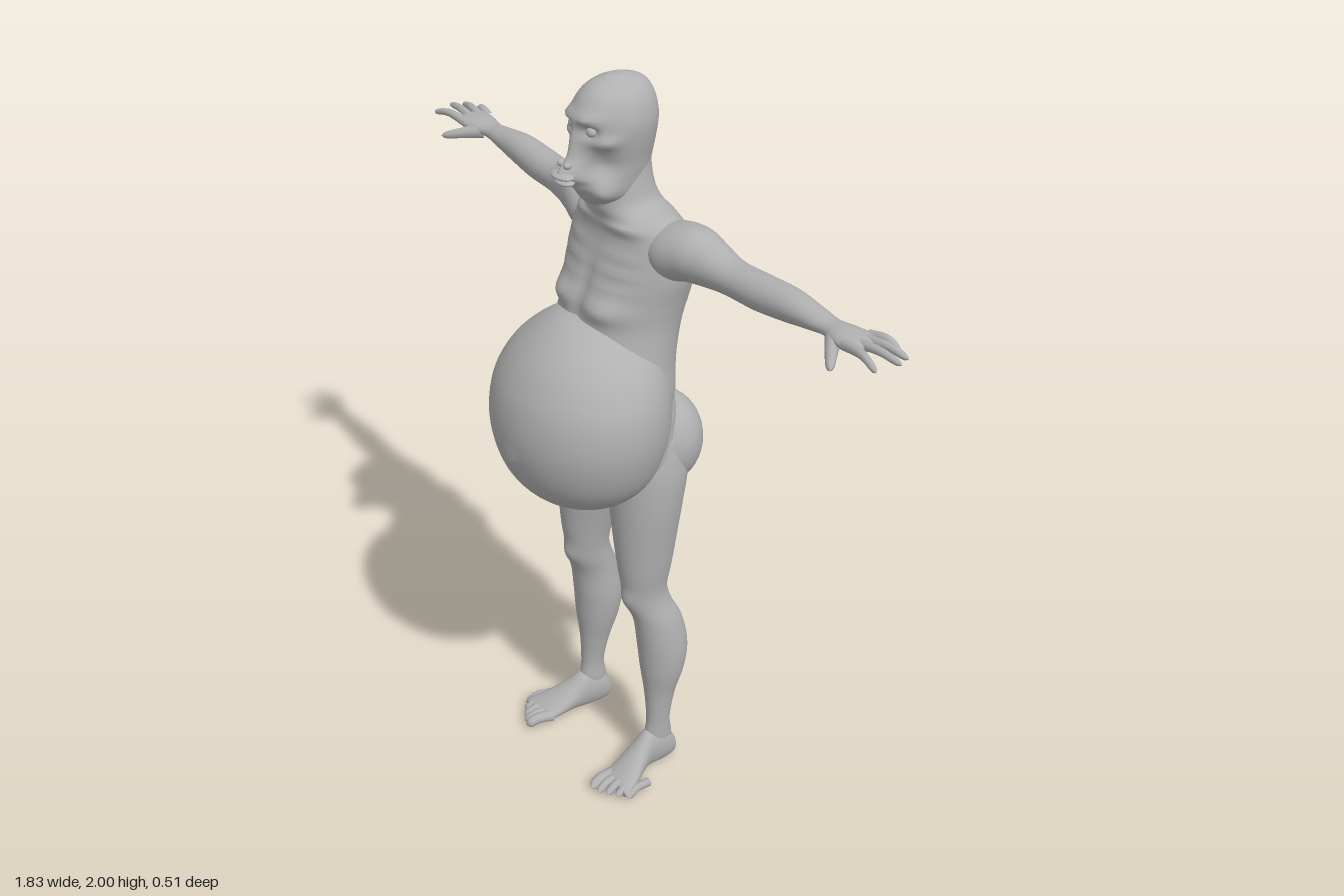
import * as THREE from 'three';

const skin = new THREE.MeshStandardMaterial({ color: 0xb0b0b0 });
skin.name = 'grey skin';

const cubic = (a, b, c, d, t) =>
  b + 0.5 * t * (c - a + t * (2 * a - 5 * b + 4 * c - d + t * (3 * (b - c) + d - a)));

// Smooth skin over elliptical sections: [along, uMin, uMax, vMin, vMax].
// (u, v) is (x, z) for axis y, (z, y) for axis x and (y, x) for axis z.
function loft(axis, rows, sides = 48, steps = 6) {
  const pos = [], index = [];
  const put = (s, u, v) =>
    pos.push(...(axis === 'y' ? [u, s, v] : axis === 'x' ? [s, v, u] : [v, u, s]));
  const row = (i) => rows[Math.min(Math.max(i, 0), rows.length - 1)];
  const rings = [];
  for (let i = 0; i < rows.length - 1; i++) {
    for (let k = 0; k < steps; k++) {
      rings.push(rows[0].map((_, c) =>
        cubic(row(i - 1)[c], row(i)[c], row(i + 1)[c], row(i + 2)[c], k / steps)));
    }
  }
  rings.push(row(rows.length));
  // Closing rings shrink to the middle of each end
  const close = ([s, a, b, c, d]) => [s, (a + b) / 2, (a + b) / 2, (c + d) / 2, (c + d) / 2];
  rings.unshift(close(rings[0]));
  rings.push(close(rings[rings.length - 1]));
  rings.forEach(([s, u0, u1, v0, v1], r) => {
    for (let j = 0; j < sides; j++) {
      const a = (j / sides) * Math.PI * 2;
      put(s, (u0 + u1) / 2 + (Math.cos(a) * (u1 - u0)) / 2, (v0 + v1) / 2 + (Math.sin(a) * (v1 - v0)) / 2);
      if (r === 0) continue;
      const p = (r - 1) * sides + j, q = (r - 1) * sides + ((j + 1) % sides);
      index.push(p, p + sides, q, q, p + sides, q + sides);
    }
  });
  const geo = new THREE.BufferGeometry();
  geo.setAttribute('position', new THREE.Float32BufferAttribute(pos, 3));
  geo.setIndex(index);
  geo.computeVertexNormals();
  return geo;
}

// Symmetric sections for the trunk and head: [y, halfWidth, zBack, zFront]
const column = (rows) => loft('y', rows.map(([y, w, z0, z1]) => [y, -w, w, z0, z1]), 72);

// Pushes the skin in or out around points: [x, y, z, rx, ry, rz, dx, dy, dz], on both sides
function sculpt(geo, bumps) {
  const p = geo.attributes.position;
  for (let i = 0; i < p.count; i++) {
    const x = p.getX(i), y = p.getY(i), z = p.getZ(i);
    let ox = 0, oy = 0, oz = 0;
    for (const [bx, by, bz, rx, ry, rz, dx, dy, dz] of bumps) {
      for (const s of bx ? [1, -1] : [1]) {
        const w = Math.exp(-(((x - s * bx) / rx) ** 2) - ((y - by) / ry) ** 2 - ((z - bz) / rz) ** 2);
        ox += s * dx * w; oy += dy * w; oz += dz * w;
      }
    }
    p.setXYZ(i, x + ox, y + oy, z + oz);
  }
  geo.computeVertexNormals();
  return geo;
}

// Tapered finger or toe with a round tip
function digit(points, r0, r1) {
  const curve = new THREE.CatmullRomCurve3(points.map((p) => new THREE.Vector3(...p)));
  const n = 16, m = 10, geo = new THREE.TubeGeometry(curve, n, 1, m);
  const p = geo.attributes.position, v = new THREE.Vector3();
  for (let i = 0; i < p.count; i++) {
    const t = Math.floor(i / (m + 1)) / n, c = curve.getPointAt(t);
    const tip = Math.sqrt(Math.max(0, 1 - Math.max(0, (t - 0.8) / 0.2) ** 2));
    v.fromBufferAttribute(p, i).sub(c).multiplyScalar((r0 + (r1 - r0) * t) * tip).add(c);
    p.setXYZ(i, v.x, v.y, v.z);
  }
  return geo;
}

function mirrored(geo) {
  const g = geo.clone().scale(-1, 1, 1), ix = g.index;
  for (let i = 0; i < ix.count; i += 3) {
    const a = ix.getX(i);
    ix.setX(i, ix.getX(i + 1));
    ix.setX(i + 1, a);
  }
  g.computeVertexNormals();
  return g;
}

export function createModel() {
  const model = new THREE.Group();
  model.name = 'potBelliedFigure';
  const add = (name, geo) => {
    const mesh = new THREE.Mesh(geo, skin);
    mesh.name = name;
    model.add(mesh);
  };
  const pair = (name, geo) => {
    add(name + 'Left', geo);
    add(name + 'Right', mirrored(geo));
  };
  const ball = (x, y, z, rx, ry, rz) =>
    new THREE.SphereGeometry(1, 36, 24).scale(rx, ry, rz).translate(x, y, z);

  // Trunk and neck, with spine groove, shoulder blades, chest and collarbones
  const trunk = column([
    [0.88, 0.1, -0.15, -0.02], [0.93, 0.17, -0.19, 0], [1, 0.205, -0.21, 0.06],
    [1.08, 0.208, -0.215, 0.1], [1.18, 0.2, -0.205, 0.1], [1.28, 0.185, -0.21, 0.09],
    [1.38, 0.178, -0.225, 0.055], [1.45, 0.185, -0.238, 0.035], [1.52, 0.198, -0.238, 0.01],
    [1.59, 0.195, -0.228, -0.015], [1.64, 0.155, -0.21, -0.02], [1.68, 0.09, -0.185, -0.01],
    [1.73, 0.07, -0.168, -0.01], [1.8, 0.06, -0.16, -0.02],
  ]);
  const ribs = [1.57, 1.53, 1.49].map((y) => [0.09, y, 0, 0.06, 0.011, 0.08, 0, 0, 0.005]);
  sculpt(trunk, [
    [0, 1.4, -0.24, 0.025, 0.2, 0.06, 0, 0, 0.025],
    [0.1, 1.52, -0.23, 0.06, 0.09, 0.06, 0, 0, -0.022],
    [0.09, 1.435, 0.03, 0.06, 0.03, 0.07, 0, 0, 0.024],
    [0, 1.47, 0.03, 0.02, 0.09, 0.06, 0, 0, -0.01],
    [0.09, 1.635, -0.03, 0.06, 0.012, 0.06, 0, 0.004, 0.012],
    [0.13, 1.645, -0.13, 0.05, 0.03, 0.06, 0, 0.012, 0],
    [0.17, 1.17, -0.12, 0.08, 0.014, 0.12, -0.008, 0, 0.006],
    ...ribs,
  ]);
  add('trunk', trunk);

  // Round belly with a small navel
  add('belly', sculpt(column([
    [0.866, 0.03, 0, 0.05], [0.885, 0.1, -0.06, 0.115], [0.93, 0.172, -0.12, 0.185],
    [1, 0.226, -0.16, 0.233], [1.1, 0.256, -0.18, 0.255], [1.2, 0.253, -0.18, 0.243],
    [1.28, 0.22, -0.17, 0.205], [1.34, 0.168, -0.15, 0.155], [1.385, 0.1, -0.1, 0.095],
    [1.4, 0.03, -0.04, 0.04],
  ]), [[0, 1.055, 0.25, 0.018, 0.025, 0.05, 0, 0, 0.009]]));
  pair('buttock', ball(0.1, 1.035, -0.15, 0.11, 0.13, 0.105));

  // Head: brow, sunken eyes and cheeks, long nose, muzzle and jowls
  add('head', sculpt(column([
    [1.692, 0.04, -0.11, 0.015], [1.715, 0.06, -0.145, 0.035], [1.76, 0.07, -0.158, 0.052],
    [1.8, 0.076, -0.166, 0.052], [1.85, 0.086, -0.173, 0.045], [1.9, 0.09, -0.177, 0.05],
    [1.95, 0.076, -0.165, 0.032], [1.982, 0.048, -0.14, -0.002], [1.998, 0.014, -0.09, -0.05],
  ]), [
    [0.038, 1.915, 0.04, 0.03, 0.014, 0.05, 0, 0, 0.015],
    [0.036, 1.885, 0.04, 0.02, 0.015, 0.05, 0, 0, -0.02],
    [0.068, 1.86, 0.01, 0.03, 0.016, 0.04, 0.01, 0, 0.01],
    [0.06, 1.8, 0.02, 0.025, 0.035, 0.05, -0.014, 0, -0.014],
    [0, 1.84, 0.05, 0.016, 0.05, 0.05, 0, 0, 0.02],
    [0, 1.778, 0.05, 0.035, 0.03, 0.05, 0, 0, 0.042],
    [0, 1.755, 0.05, 0.04, 0.008, 0.06, 0, 0, -0.012],
    [0.058, 1.735, 0.01, 0.02, 0.03, 0.05, 0.012, -0.008, 0.01],
  ]));
  pair('eye', ball(0.037, 1.885, 0.027, 0.014, 0.012, 0.012));
  pair('nostril', ball(0.013, 1.805, 0.078, 0.009, 0.009, 0.011));
  add('upperLip', ball(0, 1.779, 0.084, 0.036, 0.009, 0.024));
  add('lowerLip', ball(0, 1.762, 0.078, 0.03, 0.009, 0.022));

  // Arms, running out into flat palms
  pair('arm', loft('x', [
    [0.08, -0.2, -0.08, 1.55, 1.635], [0.16, -0.225, -0.055, 1.515, 1.66],
    [0.23, -0.215, -0.07, 1.532, 1.668], [0.29, -0.206, -0.09, 1.54, 1.652],
    [0.36, -0.2, -0.104, 1.547, 1.634], [0.46, -0.204, -0.11, 1.548, 1.636],
    [0.55, -0.204, -0.118, 1.558, 1.638], [0.64, -0.195, -0.126, 1.575, 1.628],
    [0.69, -0.19, -0.13, 1.583, 1.622], [0.74, -0.2, -0.115, 1.585, 1.625],
    [0.79, -0.207, -0.11, 1.592, 1.622], [0.815, -0.2, -0.12, 1.599, 1.616],
  ]));
  const fingers = [
    ['littleFinger', -0.197, 0.853, -0.213, 1.597], ['ringFinger', -0.175, 0.9, -0.194, 1.605],
    ['middleFinger', -0.15, 0.914, -0.16, 1.608], ['indexFinger', -0.124, 0.9, -0.1, 1.603],
  ];
  for (const [name, z, tx, tz, ty] of fingers) {
    pair(name, digit([[0.77, 1.607, z], [(0.77 + tx) / 2 + 0.01, 1.616, (z + tz) / 2], [tx, ty, tz]], 0.013, 0.008));
  }
  pair('thumb', digit([[0.715, 1.598, -0.145], [0.75, 1.59, -0.108], [0.8, 1.575, -0.06]], 0.021, 0.009));

  // Legs, with kneecaps and calves
  pair('leg', sculpt(loft('y', [
    [0.03, 0.135, 0.18, -0.165, -0.09], [0.1, 0.13, 0.185, -0.158, -0.075],
    [0.16, 0.13, 0.187, -0.15, -0.08], [0.25, 0.115, 0.195, -0.166, -0.076],
    [0.33, 0.096, 0.211, -0.19, -0.066], [0.41, 0.086, 0.215, -0.2, -0.058],
    [0.5, 0.088, 0.205, -0.182, -0.045], [0.56, 0.084, 0.19, -0.155, -0.024],
    [0.61, 0.08, 0.186, -0.143, -0.014], [0.68, 0.068, 0.195, -0.155, -0.002],
    [0.78, 0.045, 0.207, -0.17, 0.006], [0.88, 0.022, 0.217, -0.185, 0.01],
    [0.98, 0.01, 0.218, -0.2, 0.01], [1.08, 0.03, 0.2, -0.18, 0],
  ]), [
    [0.135, 0.585, -0.02, 0.03, 0.03, 0.04, 0, 0, 0.01],
    [0.15, 0.5, -0.19, 0.015, 0.08, 0.05, 0, 0, 0.008],
  ]));

  // Feet, splayed outward, with five toes
  pair('foot', loft('z', [
    [-0.173, 0.03, 0.05, 0.145, 0.168], [-0.163, 0.008, 0.08, 0.132, 0.18],
    [-0.13, 0.001, 0.12, 0.126, 0.188], [-0.08, 0.003, 0.125, 0.127, 0.191],
    [-0.04, 0.006, 0.096, 0.129, 0.207], [0, 0.004, 0.068, 0.131, 0.23],
    [0.04, 0.003, 0.043, 0.137, 0.25], [0.06, 0.005, 0.03, 0.145, 0.25],
  ]));
  for (let i = 0; i < 5; i++) {
    const x = 0.155 + i * 0.022, z = 0.115 - i * 0.006 - i * i * 0.0022, r = i ? 0.0125 : 0.017;
    pair('toe' + (i + 1), digit([[x - 0.004, 0.02, z - 0.08], [x + 0.002, 0.026, z - 0.035], [x + 0.008, r * 0.8, z]], r, r * 0.85));
  }
  return model;
}
